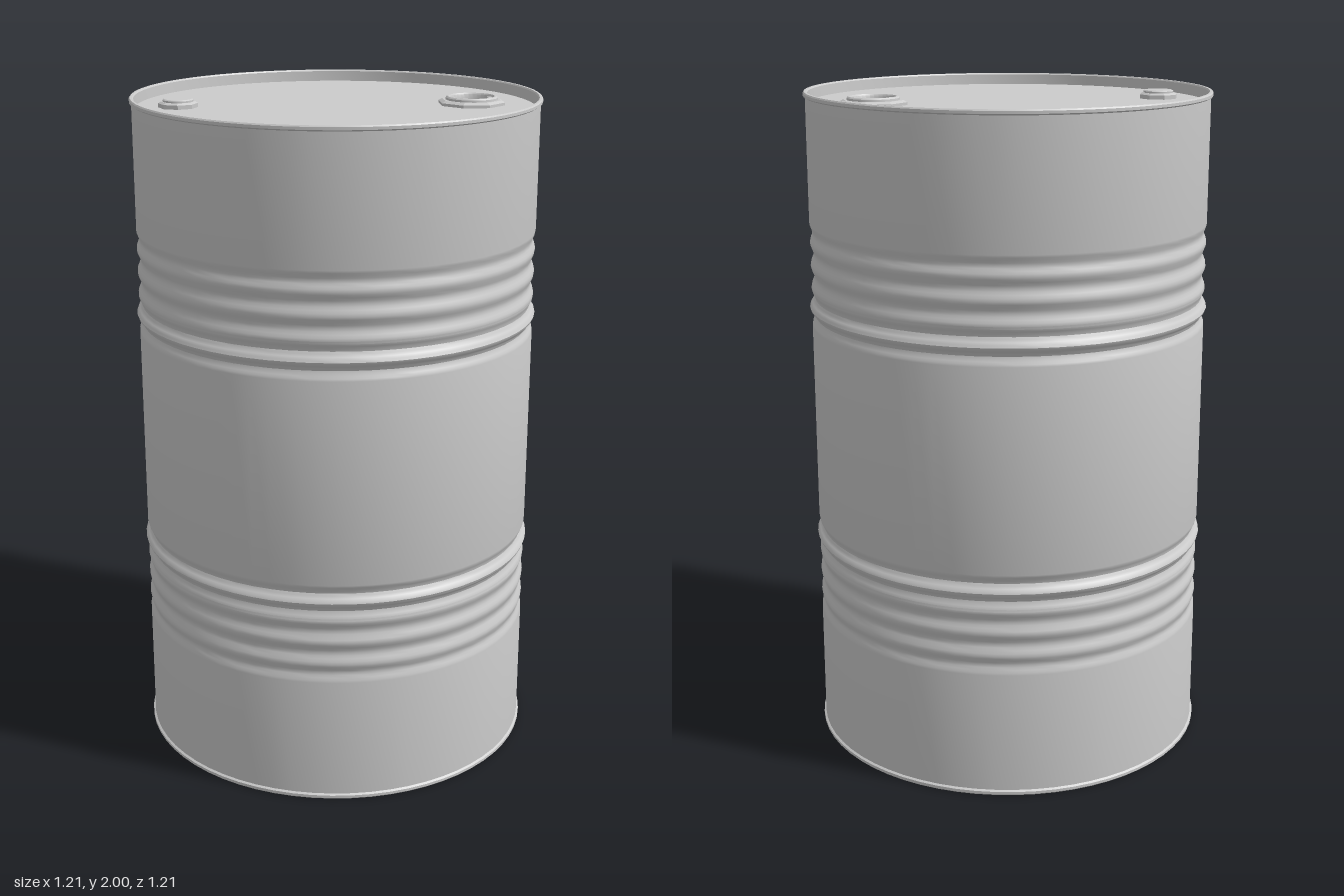
import * as THREE from 'three';
import { toCreasedNormals } from 'three/addons/utils/BufferGeometryUtils.js';

const material = new THREE.MeshStandardMaterial({ color: 0xcccccc });
const LID_Y = 1.965;

// Turned part from [radius, height] pairs, listed from the bottom outside to the top inside
function turned(name, profile, sides, crease = 0.5, start = 0) {
  const points = profile.map(([r, y]) => new THREE.Vector2(r, y));
  const geometry = toCreasedNormals(new THREE.LatheGeometry(points, sides, start), crease);
  const mesh = new THREE.Mesh(geometry, material);
  mesh.name = name;
  return mesh;
}

// Rounds a run of peaks and valleys with cosine easing
function eased(stops, steps = 4) {
  const out = [stops[0]];
  for (let i = 1; i < stops.length; i++) {
    const [r0, y0] = stops[i - 1], [r1, y1] = stops[i];
    for (let s = 1; s <= steps; s++) {
      const t = s / steps, k = (1 - Math.cos(Math.PI * t)) / 2;
      out.push([r0 + (r1 - r0) * k, y0 + (y1 - y0) * t]);
    }
  }
  return out;
}

function createBarrel() {
  // Upper band: one bold hoop, then shallow ripples fading upwards
  const upper = eased([
    [0.598, 1.305], [0.588, 1.333], [0.604, 1.36], [0.588, 1.388], [0.598, 1.418],
    [0.588, 1.453], [0.598, 1.487], [0.588, 1.522], [0.598, 1.556], [0.59, 1.585], [0.598, 1.615],
  ]);
  // Lower band mirrors it about mid height
  const lower = upper.map(([r, y]) => [r, 2 - y]).reverse();
  return turned('barrel', [
    [0, 0], [0.6, 0], [0.604, 0.004], [0.604, 0.012], [0.598, 0.016],
    ...lower, ...upper,
    [0.598, 1.984], [0.604, 1.988], [0.604, 1.996], [0.601, 2],
    [0.594, 2], [0.591, 1.996], [0.59, LID_Y], [0, LID_Y],
  ], 64);
}

// Large filler plug: octagonal flange, round collar, recessed cup with two grips
function createFillerPlug() {
  const plug = new THREE.Group();
  plug.name = 'fillerPlug';
  plug.add(turned('flange', [[0.101, 0], [0.101, 0.008], [0.09, 0.014], [0.07, 0.014]], 8, 0.2, Math.PI / 8));
  plug.add(turned('collar', [
    [0.078, 0.01], [0.077, 0.02], [0.073, 0.024], [0.068, 0.024], [0.065, 0.02], [0.063, 0.006], [0, 0.006],
  ], 32));
  for (const side of [-1, 1]) {
    const grip = new THREE.Mesh(new THREE.BoxGeometry(0.014, 0.013, 0.055), material);
    grip.name = 'grip';
    grip.position.set(side * 0.056, 0.0115, 0);
    plug.add(grip);
  }
  plug.position.set(0.405, LID_Y, -0.015);
  return plug;
}

// Small vent plug: octagonal nut with a round cap
function createVentPlug() {
  const plug = new THREE.Group();
  plug.name = 'ventPlug';
  plug.add(turned('nut', [[0.058, 0], [0.058, 0.012], [0.05, 0.017], [0, 0.017]], 8, 0.2));
  plug.add(turned('cap', [[0.045, 0.012], [0.045, 0.022], [0.041, 0.025], [0, 0.025]], 24));
  plug.position.set(-0.462, LID_Y, -0.015);
  return plug;
}

export function createModel() {
  const drum = new THREE.Group();
  drum.name = 'drum';
  drum.add(createBarrel(), createFillerPlug(), createVentPlug());
  return drum;
}
